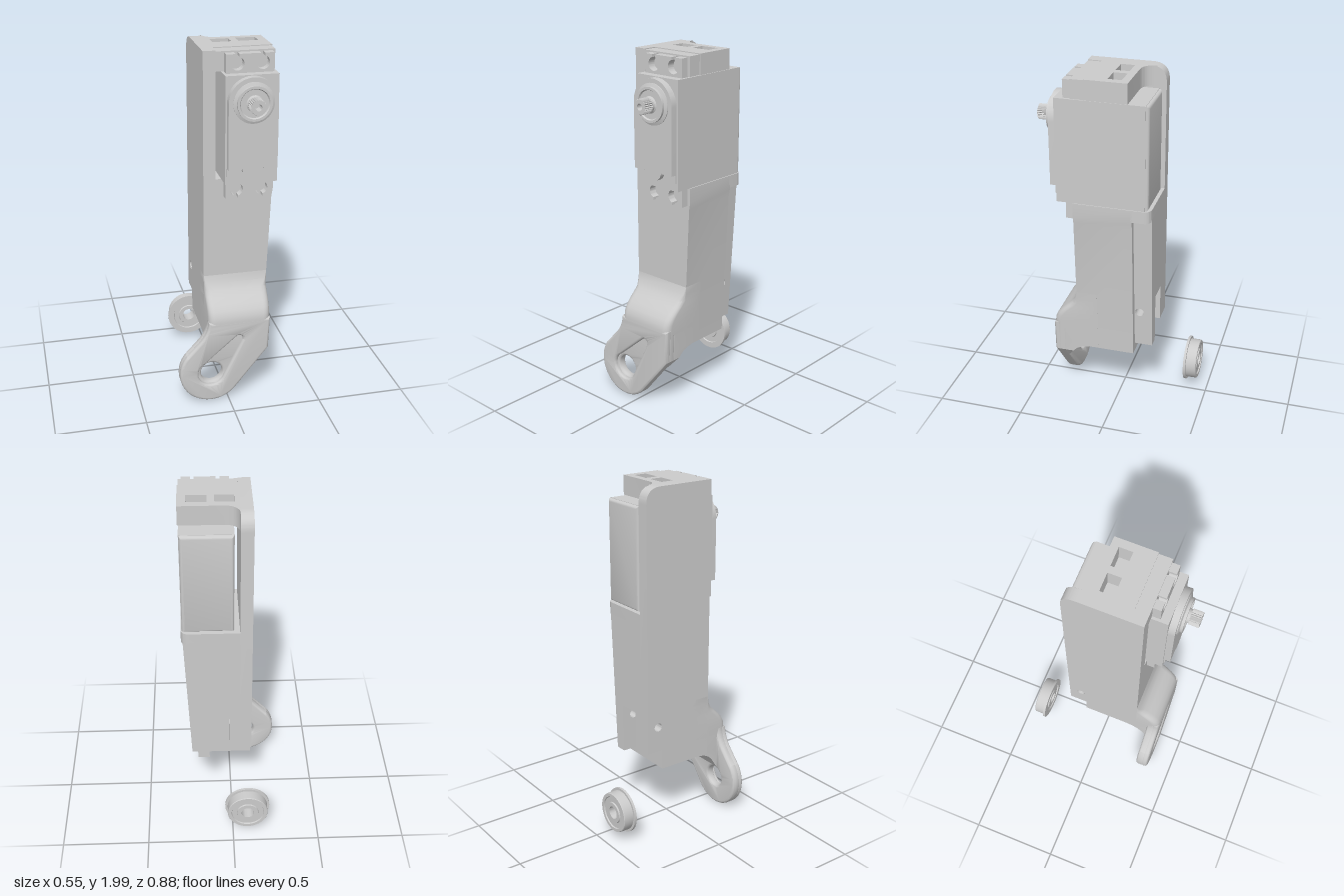
import * as THREE from 'three';
import { toCreasedNormals } from 'three/addons/utils/BufferGeometryUtils.js';

const HALF = Math.PI / 2;

export function createModel() {
  const model = new THREE.Group();
  const material = new THREE.MeshStandardMaterial({ color: 0xcccccc });

  function add(name, geometry, parent = model) {
    const mesh = new THREE.Mesh(toCreasedNormals(geometry, 0.6), material);
    mesh.name = name;
    parent.add(mesh);
    return mesh;
  }
  const poly = (pts) => new THREE.Shape(pts.map(([x, y]) => new THREE.Vector2(x, y)));
  const circle = (x, y, r) => new THREE.Path().absarc(x, y, r, 0, Math.PI * 2, false);

  // Extrusions along z, x and y; bevels stay inside the outline
  function alongZ(shape, z0, z1, bevel = 0, thick = bevel) {
    return new THREE.ExtrudeGeometry(shape, {
      depth: z1 - z0 - 2 * thick, curveSegments: 20, bevelEnabled: bevel > 0,
      bevelSize: bevel, bevelThickness: thick, bevelOffset: -bevel, bevelSegments: 4,
    }).translate(0, 0, z0 + thick);
  }
  const alongX = (shape, x0, x1, bevel) => alongZ(shape, 0, x1 - x0, bevel).rotateY(-HALF).translate(x1, 0, 0);
  const alongY = (shape, y0, y1, bevel) => alongZ(shape, y0, y1, bevel).rotateX(-HALF);
  const box = (x0, x1, y0, y1, z0, z1) => new THREE.BoxGeometry(x1 - x0, y1 - y0, z1 - z0)
    .translate((x0 + x1) / 2, (y0 + y1) / 2, (z0 + z1) / 2);

  // Side wall running the full height, with a screw hole near the bottom
  const wall = new THREE.Shape();
  wall.moveTo(0.22, 0.36);
  wall.lineTo(0.22, 2);
  wall.lineTo(-0.12, 2);
  wall.quadraticCurveTo(-0.212, 2, -0.212, 1.91);
  wall.lineTo(-0.212, 0.48);
  wall.lineTo(-0.11, 0.48);
  wall.lineTo(-0.11, 0.36);
  wall.holes.push(circle(-0.14, 0.63, 0.025));
  add('sideWall', alongX(wall, -0.113, -0.045));

  // Tapered lower body
  add('lowerBody', alongZ(poly([[-0.046, 0.36], [0.232, 0.36], [0.268, 1.18], [0.275, 1.22],
    [0.275, 1.3], [-0.046, 1.3]]), -0.11, 0.22));

  // Back of the lower body: inner block, filler above the notch, tapered flange
  function backSlab(y0) {
    const s = poly([[-0.1, y0], [-0.1, 1.24], [-0.212, 1.24], [-0.212, y0]]);
    s.holes.push(circle(-0.14, 0.63, 0.025));
    return s;
  }
  add('innerBackBlock', alongX(backSlab(0.48), -0.046, 0.01));
  add('backFiller', box(0.01, 0.13, 0.7, 1.24, -0.212, -0.1));
  const flange = alongX(backSlab(0.41), 0.13, 0.19);
  const fp = flange.attributes.position;
  for (let i = 0; i < fp.count; i++) {
    if (fp.getX(i) > 0.16) fp.setX(i, 0.195 + (fp.getY(i) - 0.41) * 0.055);
  }
  add('backFlange', flange);

  // Shelf carrying the motor, with one rounded corner
  const shelf = new THREE.Shape();
  shelf.moveTo(-0.046, 0.1);
  shelf.lineTo(0.275, 0.1);
  shelf.lineTo(0.275, 0.165);
  shelf.quadraticCurveTo(0.275, 0.212, 0.225, 0.212);
  shelf.lineTo(-0.046, 0.212);
  add('motorShelf', alongY(shelf, 1.23, 1.3));

  // Top bridge with two pockets and a concave fillet into the wall
  const bridge = new THREE.Shape();
  bridge.moveTo(-0.046, -0.145);
  bridge.lineTo(0.275, -0.145);
  bridge.lineTo(0.275, 0.087);
  bridge.lineTo(0.04, 0.087);
  bridge.quadraticCurveTo(-0.035, 0.087, -0.046, 0.16);
  for (const [a, b] of [[-0.02, 0.083], [0.122, 0.23]]) {
    bridge.holes.push(new THREE.Path([[a, -0.03], [b, -0.03], [b, 0.045], [a, 0.045]]
      .map(([x, y]) => new THREE.Vector2(x, y))));
  }
  add('topBridge', alongY(bridge, 1.89, 2));
  add('bridgeFront', box(-0.046, 0.27, 1.89, 1.995, 0.144, 0.22));

  // Neck: cross-sections that sweep the body forward into the arm
  const rows = [[0.25, 0.335, 0.293], [0.28, 0.335, 0.275], [0.31, 0.335, 0.255], [0.335, 0.335, 0.23],
    [0.352, 0.335, 0.195], [0.36, 0.335, 0.15], [0.37, 0.335, 0.1], [0.465, 0.335, 0.1], [0.47, 0.3645, 0.1],
    [0.5, 0.3645, 0.1], [0.53, 0.36, 0.1], [0.56, 0.345, 0.1], [0.59, 0.32, 0.1], [0.62, 0.288, 0.1],
    [0.65, 0.258, 0.1], [0.685, 0.234, 0.1], [0.73, 0.2195, 0.1]];
  const pos = [], index = [], N = 14;
  for (const [y, zf, zb] of rows) {
    const xr = y < 0.31 ? 0.038 + (y - 0.069) * 0.797 : 0.23 + (y - 0.31) * 0.0447;
    const r = Math.min(0.04, (zf - zb) * 0.7, Math.max(0.001, zf - 0.22));
    pos.push(xr, y, zb);
    for (let i = 0; i < 12; i++) {
      const a = (i % 6) / 5 * HALF + (i < 6 ? 0 : HALF);
      pos.push((i < 6 ? xr - r : -0.113 + r) + r * Math.cos(a), y, zf - r + r * Math.sin(a));
    }
    pos.push(-0.113, y, zb);
  }
  for (let j = 0; j < rows.length - 1; j++) {
    for (let i = 0; i < N; i++) {
      const a = j * N + i, b = j * N + (i + 1) % N;
      index.push(a, a + N, b, b, a + N, b + N);
    }
  }
  for (let i = 1; i < N - 1; i++) index.push(0, i, i + 1);
  const neck = new THREE.BufferGeometry();
  neck.setAttribute('position', new THREE.Float32BufferAttribute(pos, 3));
  neck.setIndex(index);
  add('neck', neck);

  // Arm plate: two layers, the front one holding the keyhole recess
  function armShape(hole) {
    const s = new THREE.Shape();
    s.moveTo(0.238, 0.5);
    s.lineTo(-0.113, 0.5);
    s.quadraticCurveTo(-0.116, 0.44, -0.16, 0.385);
    s.lineTo(-0.238, 0.3);
    s.absarc(-0.1, 0.185, 0.18, 2.45, Math.PI * 2 - 0.7, false);
    s.lineTo(0.23, 0.31);
    s.holes.push(hole);
    return s;
  }
  const keyhole = new THREE.Path();
  keyhole.absarc(-0.1, 0.18, 0.075, 0.89 + 1.2, 0.89 - 1.2 + Math.PI * 2, false);
  keyhole.absarc(0.06, 0.385, 0.022, 0.89 - 1.4, 0.89 + 1.4, false);
  add('armBack', alongZ(armShape(circle(-0.095, 0.178, 0.062)), 0.293, 0.345, 0.015));
  add('armFront', alongZ(armShape(keyhole), 0.325, 0.365, 0.015));

  // Motor case, back lid and front gear cover
  const motor = new THREE.Group();
  motor.name = 'motor';
  model.add(motor);
  const rect = (x0, x1, y0, y1) => poly([[x0, y0], [x1, y0], [x1, y1], [x0, y1]]);
  add('case', box(-0.015, 0.27, 1.3, 1.887, -0.18, 0.31), motor);
  add('backLid', alongZ(rect(-0.013, 0.268, 1.302, 1.885), -0.199, -0.1, 0.017), motor);
  const cover = new THREE.Shape();
  cover.moveTo(-0.006, 1.39);
  cover.lineTo(0.067, 1.39);
  cover.absarc(0.127, 1.4, 0.058, Math.PI, Math.PI * 2, false);
  cover.lineTo(0.187, 1.39);
  cover.lineTo(0.26, 1.39);
  cover.absarc(0.127, 1.75, 0.133, 0, Math.PI, false);
  add('gearCover', alongZ(cover, 0.3, 0.347), motor);
  add('lowerCover', box(-0.006, 0.26, 1.345, 1.4, 0.3, 0.318), motor);

  // Output hub, turned around the shaft axis
  const lathe = (pts) => new THREE.LatheGeometry(pts.map(([x, y]) => new THREE.Vector2(x, y)), 40).rotateX(HALF);
  add('outputHub', lathe([[0.11, 0.34], [0.11, 0.352], [0.093, 0.358], [0.093, 0.372],
    [0.08, 0.372], [0.075, 0.364], [0.045, 0.364], [0.038, 0.37], [0.038, 0.386], [0, 0.386]])
    .translate(0.127, 1.75, 0), motor);
  const teeth = [];
  for (let i = 0; i < 50; i++) {
    const r = i % 2 ? 0.037 : 0.042, a = i / 50 * Math.PI * 2;
    teeth.push([0.127 + r * Math.cos(a), 1.75 + r * Math.sin(a)]);
  }
  const spline = poly(teeth);
  spline.holes.push(circle(0.127, 1.75, 0.018));
  add('outputSpline', alongZ(spline, 0.384, 0.44), motor);

  // Mounting ears, each with two slotted screw holes
  const ear = new THREE.Shape();
  ear.moveTo(-0.128, 0);
  ear.lineTo(0.128, 0);
  ear.lineTo(0.128, 0.1);
  for (const x of [0.068, -0.068]) {
    ear.lineTo(x + 0.01, 0.1);
    ear.absarc(x, 0.05, 0.036, 1.28, 1.86, true);
    ear.lineTo(x - 0.01, 0.1);
  }
  ear.lineTo(-0.128, 0.1);
  for (const [name, y, turn] of [['upperEar', 1.887, 0], ['lowerEar', 1.3, Math.PI]]) {
    add(name, alongZ(ear, 0.219, 0.264).rotateZ(turn).translate(0.127, y, 0), motor);
  }

  // Loose flanged bearing behind the arm
  add('bearing', lathe([[0.037, -0.44], [0.06, -0.44], [0.063, -0.433], [0.092, -0.433], [0.095, -0.44],
    [0.113, -0.44], [0.116, -0.436], [0.116, -0.38], [0.13, -0.38], [0.13, -0.366], [0.095, -0.366],
    [0.092, -0.373], [0.063, -0.373], [0.06, -0.366], [0.037, -0.366], [0.037, -0.44]])
    .translate(-0.085, 0.17, 0)).material.side = THREE.DoubleSide;

  return model;
}
